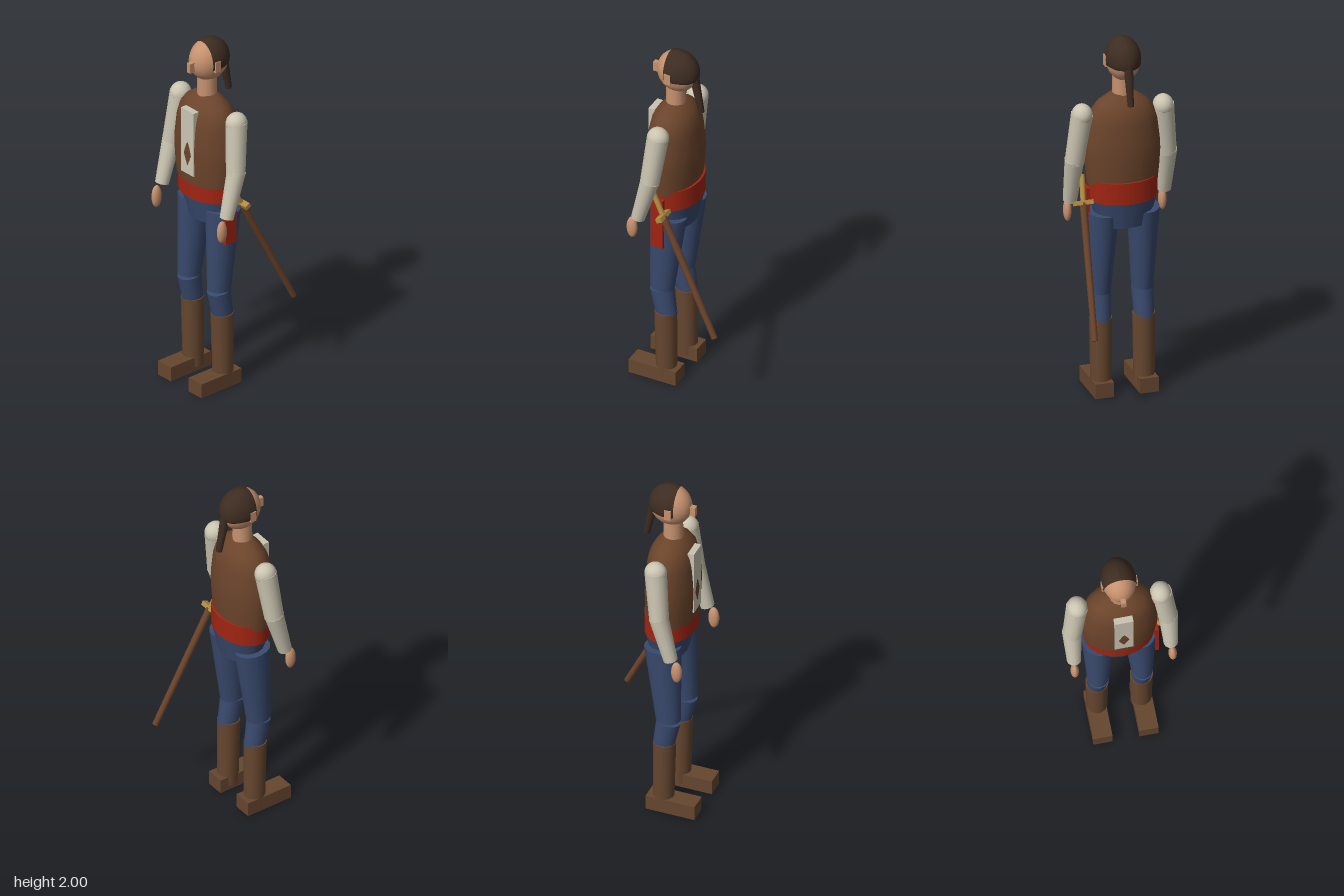
import * as THREE from 'three';

const mat = (name, color) => {
  const m = new THREE.MeshStandardMaterial({ color });
  m.name = name;
  return m;
};

export function createModel() {
  const root = new THREE.Group();
  root.name = 'swordsman';
  const skin = mat('skin', 0xc8926f);
  const hairDark = mat('dark hair', 0x3d2c21);
  const vestBrown = mat('vest brown', 0x6b442b);
  const bootBrown = mat('boot brown', 0x66462f);
  const linen = mat('linen', 0xcbc5b1);
  const sashRed = mat('sash red', 0xa02412);
  const denim = mat('trouser blue', 0x394a6e);
  const gold = mat('brass', 0xb18a42);

  const add = (name, geo, material, x = 0, y = 0, z = 0) => {
    const m = new THREE.Mesh(geo, material);
    m.name = name;
    m.position.set(x, y, z);
    root.add(m);
    return m;
  };
  const box = (name, material, x0, x1, y0, y1, z0, z1) =>
    add(name, new THREE.BoxGeometry(x1 - x0, y1 - y0, z1 - z0), material, (x0 + x1) / 2, (y0 + y1) / 2, (z0 + z1) / 2);
  const ball = (name, material, x, y, z, rx, ry, rz) =>
    add(name, new THREE.SphereGeometry(1, 20, 14).scale(rx, ry, rz), material, x, y, z);
  // tapered limb from a (radius ra) to b (radius rb), optionally flattened in z
  const limb = (name, material, a, b, ra, rb, flat = 1, sides = 12) => {
    const A = new THREE.Vector3(...a), B = new THREE.Vector3(...b);
    const dir = A.clone().sub(B);
    const mid = A.clone().add(B).multiplyScalar(0.5);
    const m = add(name, new THREE.CylinderGeometry(ra, rb, dir.length(), sides).scale(1, 1, flat), material, mid.x, mid.y, mid.z);
    m.quaternion.setFromUnitVectors(new THREE.Vector3(0, 1, 0), dir.normalize());
    return m;
  };

  // Head, face towards -x
  ball('head', skin, -0.085, 1.879, 0, 0.115, 0.118, 0.091);
  box('nose', skin, -0.225, -0.19, 1.84, 1.895, -0.013, 0.013);
  for (const s of [1, -1]) {
    const [z0, z1] = s > 0 ? [0.07, 0.096] : [-0.096, -0.07];
    box('ear', skin, -0.12, -0.083, 1.84, 1.9, z0, z1);
  }
  add('neck', new THREE.CylinderGeometry(0.051, 0.053, 0.13, 14), skin, -0.098, 1.725, 0);

  // Hair cap: pole at the back, trimmed flat along its lower edge
  const cap = new THREE.SphereGeometry(1, 28, 18, 0, Math.PI * 2, 0, 1.95)
    .rotateZ(-Math.PI / 2).scale(0.12, 0.121, 0.094);
  const cp = cap.attributes.position;
  for (let i = 0; i < cp.count; i++) cp.setY(i, Math.max(cp.getY(i), -0.03));
  cap.computeVertexNormals();
  add('hair', cap, hairDark, -0.085, 1.879, 0);
  limb('ponytail', hairDark, [0.01, 1.87, 0], [0.052, 1.657, 0], 0.026, 0.017, 1, 8);

  // Torso: a lathe flattened front to back
  const profile = [[0, 1.685], [0.068, 1.685], [0.137, 1.637], [0.172, 1.59], [0.19, 1.53],
    [0.203, 1.42], [0.206, 1.36], [0.2, 1.27], [0.192, 1.19]]
    .reverse().map(([r, y]) => new THREE.Vector2(r, y));
  add('vest', new THREE.LatheGeometry(profile, 20).scale(0.675, 1, 1), vestBrown, -0.097, 0, 0);
  box('shirtFront', linen, -0.233, -0.198, 1.245, 1.62, -0.05, 0.05);

  // Sash and hips
  add('sash', new THREE.CylinderGeometry(0.135, 0.135, 0.12, 24).scale(1, 1, 1.37), sashRed, -0.088, 1.16, 0);
  box('sashTail', sashRed, -0.143, -0.07, 0.87, 1.17, 0.183, 0.202);
  add('hips', new THREE.CylinderGeometry(0.125, 0.095, 0.15, 20).scale(1, 1, 1.46), denim, -0.08, 1.03, 0);

  // Legs and arms, one of each per side
  for (const s of [1, -1]) {
    limb('thigh', denim, [-0.082, 1.035, s * 0.11], [-0.117, 0.57, s * 0.117], 0.1, 0.067, 0.86, 16);
    limb('shin', denim, [-0.118, 0.565, s * 0.117], [-0.09, 0.4, s * 0.118], 0.066, 0.058, 0.9, 16);
    limb('bootShaft', bootBrown, [-0.096, 0.425, s * 0.118], [-0.09, 0.025, s * 0.118], 0.061, 0.056, 1, 14);
    const [z0, z1] = s > 0 ? [0.071, 0.173] : [-0.173, -0.071];
    box('foot', bootBrown, -0.285, -0.01, 0, 0.082, z0, z1);

    ball('shoulder', linen, -0.087, 1.585, s * 0.222, 0.06, 0.06, 0.055);
    limb('upperSleeve', linen, [-0.087, 1.59, s * 0.222], [-0.12, 1.305, s * 0.254], 0.059, 0.052);
    limb('lowerSleeve', linen, [-0.116, 1.325, s * 0.255], [-0.185, 1.07, s * 0.257], 0.052, 0.038);
    ball('hand', skin, -0.22, 1.0, s * 0.26, 0.03, 0.064, 0.022);
  }

  // Sheathed sword on the belt at +z
  const hilt = [-0.055, 1.1, 0.226];
  limb('scabbard', vestBrown, hilt, [0.268, 0.453, 0.267], 0.02, 0.017, 1, 8);
  limb('swordGrip', gold, [-0.127, 1.23, 0.21], hilt, 0.015, 0.015, 1, 8);
  const guard = add('swordGuard', new THREE.BoxGeometry(0.034, 0.024, 0.105), gold, ...hilt);
  guard.rotation.z = 0.46;

  return root;
}
